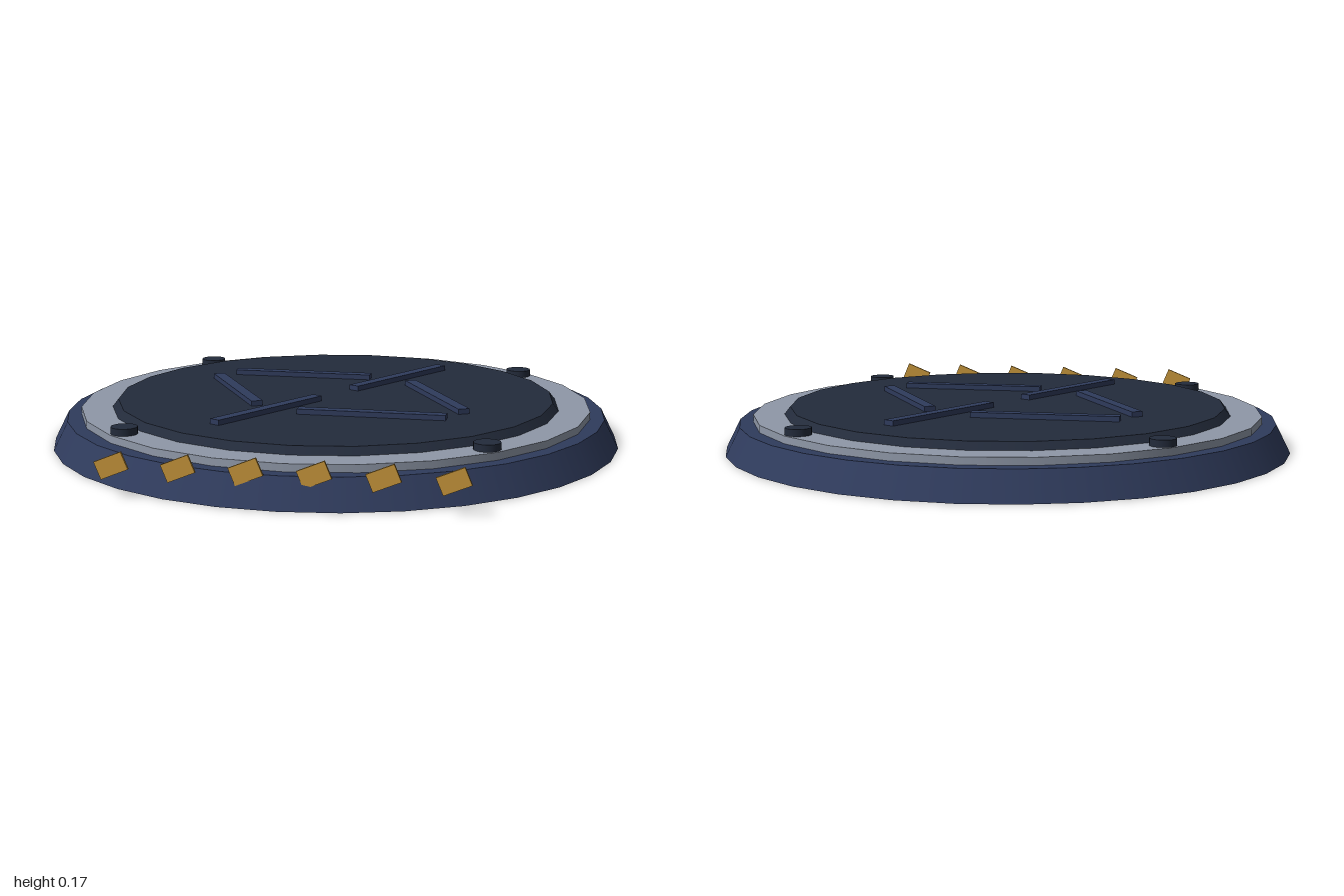
import * as THREE from 'three';

const material = (color) => new THREE.MeshStandardMaterial({ color });

export function createModel() {
  const model = new THREE.Group();
  const navy = material(0x2f3b5c);
  const dark = material(0x232b3b);
  const silver = material(0x8f98a8);
  const gold = material(0xc4943a);

  const add = (name, geometry, mat, x, y, z) => {
    const mesh = new THREE.Mesh(geometry, mat);
    mesh.name = name;
    mesh.position.set(x, y, z);
    model.add(mesh);
    return mesh;
  };

  // Tapered disc standing between two heights
  const disc = (name, mat, rTop, rBottom, y0, y1, sides, x = 0, z = 0) =>
    add(name, new THREE.CylinderGeometry(rTop, rBottom, y1 - y0, sides), mat, x, (y0 + y1) / 2, z);

  // Stacked round body
  disc('base', navy, 0.95, 1, 0, 0.1, 32);
  disc('trimRing', silver, 0.9, 0.9, 0.1, 0.126, 24);
  disc('topPlate', dark, 0.77, 0.795, 0.12, 0.152, 24);

  // Four studs on the ring
  for (const x of [-0.6, 0.6]) {
    for (const z of [-0.6, 0.6]) disc('stud', dark, 0.045, 0.045, 0.115, 0.15, 16, x, z);
  }

  // Six raised bars in a pinwheel
  const barGeometry = new THREE.BoxGeometry(0.51, 0.025, 0.04);
  for (let i = 0; i < 6; i++) {
    const a = (i * Math.PI) / 3;
    const bar = add('pinwheelBar', barGeometry, navy, 0.36 * Math.cos(a), 0.1575, 0.36 * Math.sin(a));
    bar.rotation.y = a - THREE.MathUtils.degToRad(61);
  }

  // Row of tilted thin plates along the front
  const plateGeometry = new THREE.BoxGeometry(0.095, 0.06, 0.01);
  for (let i = 0; i < 6; i++) {
    const plate = add('frontPlate', plateGeometry, gold, (i - 2.5) * 0.2145, 0.108, 0.95);
    plate.rotation.z = 0.39;
  }

  return model;
}
